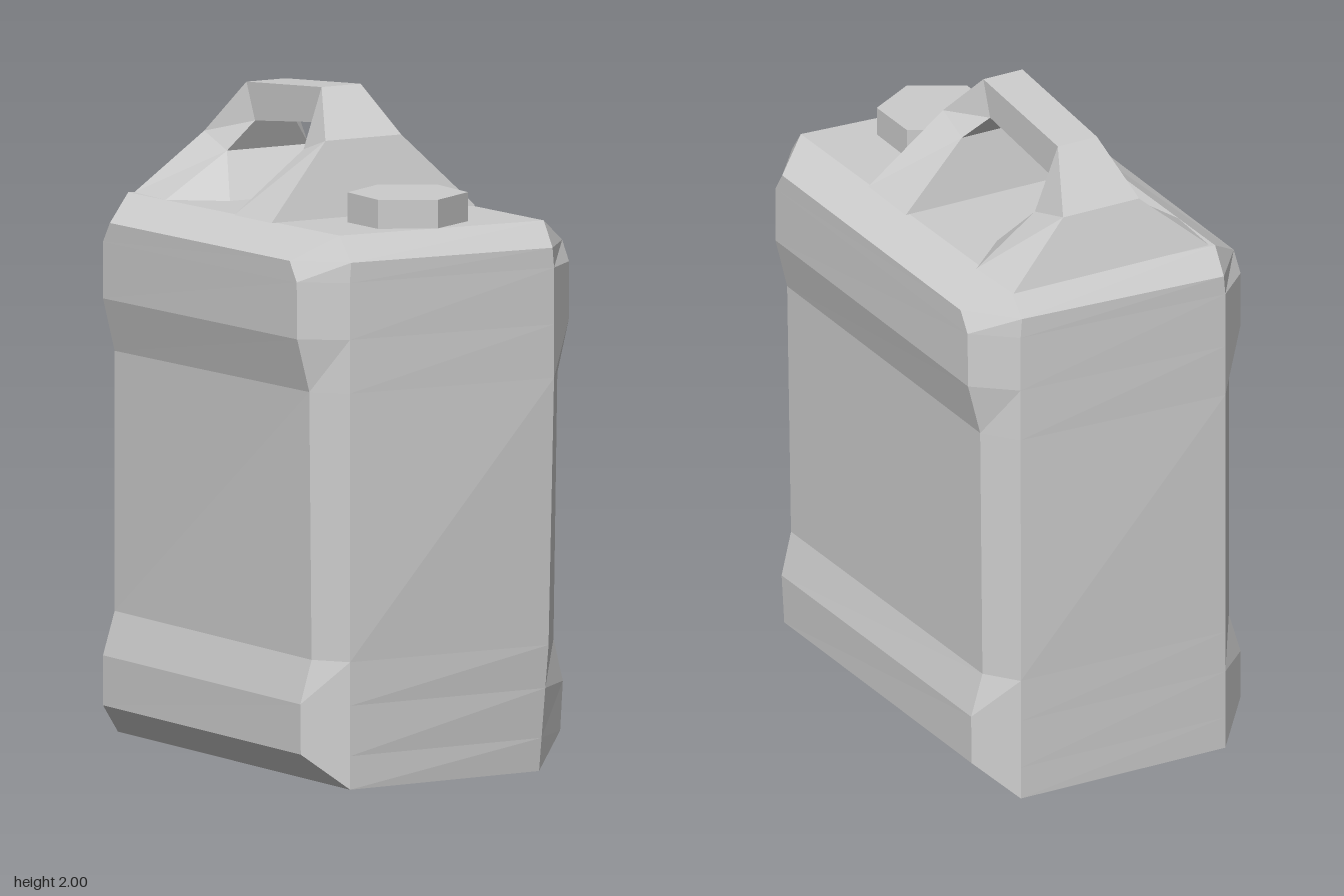
import * as THREE from 'three';

const material = new THREE.MeshStandardMaterial({ color: 0xcccccc, flatShading: true });

// Flat-shaded mesh from a list of polygons, each fanned into triangles
function polyMesh(name, polygons) {
  const pos = [];
  for (const p of polygons)
    for (let i = 1; i < p.length - 1; i++) pos.push(...p[0], ...p[i], ...p[i + 1]);
  const geo = new THREE.BufferGeometry();
  geo.setAttribute('position', new THREE.Float32BufferAttribute(pos, 3));
  geo.computeVertexNormals();
  const mesh = new THREE.Mesh(geo, material);
  mesh.name = name;
  return mesh;
}

// The shoulder sinks slightly toward the back
const sag = (z) => 0.022 * (0.62 - z) / 1.24;
const floorAt = (z) => 1.645 - sag(z);

// Body levels: y, side panel x, side panel end z, end panel edge x, end panel z
const levels = [
  [0, 0.35, 0.68, 0.35, 0.68],
  [0.1, 0.46, 0.58, 0.35, 0.68],
  [0.25, 0.46, 0.58, 0.35, 0.68],
  [0.38, 0.42, 0.58, 0.35, 0.68],
  [1.18, 0.42, 0.58, 0.35, 0.68],
  [1.34, 0.46, 0.58, 0.35, 0.68],
  [1.51, 0.46, 0.58, 0.35, 0.68],
  [1.57, 0.46, 0.54, 0.345, 0.68],
  [1.645, 0.35, 0.62, 0.35, 0.62],
];

// Two opposite corners lean in toward the top, one tucks in at the foot
function lean(sx, sz, y) {
  if (sx * sz < 0) return y / 1.64;
  return sx > 0 ? Math.max(0, 1 - y / 0.6) : 0;
}

function ring([y, sideX, sideZ, endX, endZ]) {
  const points = [];
  for (const [sx, sz] of [[1, 1], [1, -1], [-1, -1], [-1, 1]]) {
    const k = lean(sx, sz, y);
    const add = (x, z, dx) => {
      const pz = sz * (z - 0.045 * k);
      points.push([sx * (x - dx * k), y > 1.1 ? y - sag(pz) : y, pz]);
    };
    const end = () => add(endX, endZ, 0.025);
    const side = () => add(sideX, sideZ, y === 0 || y > 1.6 ? 0.025 : 0.01);
    if (sx * sz > 0) { end(); side(); } else { side(); end(); }
  }
  return points;
}

function body() {
  const rings = levels.map(ring);
  const polygons = [[...rings[0]].reverse(), rings[rings.length - 1]];
  for (let i = 0; i < rings.length - 1; i++)
    for (let k = 0; k < 8; k++) {
      const n = (k + 1) % 8;
      polygons.push([rings[i][k], rings[i][n], rings[i + 1][n], rings[i + 1][k]]);
    }
  return polyMesh('body', polygons);
}

// Pyramid-like carrying handle with an opening through it
function handle() {
  const outer = [
    [0.35, floorAt(0.22), 0.22], [0.13, 1.86, 0.16], [0.067, 2, 0.03],
    [0.067, 1.96, -0.41], [0.13, 1.8, -0.55], [0.335, floorAt(-0.61), -0.61],
  ];
  const hole = [
    [0.35, floorAt(0), 0], [0.135, 1.82, 0.04], [0.067, 1.89, -0.01],
    [0.067, 1.85, -0.36], [0.14, 1.76, -0.4], [0.345, floorAt(-0.41), -0.41],
  ];
  const sill = [0.2, floorAt(-0.28), -0.28];
  const inner = [...hole.slice(0, 5), sill];
  const flip = ([x, y, z]) => [-x, y, z];
  const polygons = [];
  const bothSides = (p) => polygons.push(p, p.map(flip).reverse());

  for (let i = 0; i < 5; i++) {
    bothSides([outer[i], hole[i], hole[i + 1], outer[i + 1]]);
    polygons.push([outer[i], outer[i + 1], flip(outer[i + 1]), flip(outer[i])]);
    polygons.push([flip(inner[i]), flip(inner[i + 1]), inner[i + 1], inner[i]]);
  }
  // Splayed foot of the rear leg
  bothSides([hole[4], sill, hole[5]]);
  return polyMesh('handle', polygons);
}

export function createModel() {
  const group = new THREE.Group();
  group.name = 'fuelCan';
  group.add(body(), handle());

  // Hexagonal screw cap
  const cap = new THREE.Mesh(new THREE.CylinderGeometry(0.178, 0.178, 0.1, 6), material);
  cap.name = 'cap';
  cap.position.set(0, 1.68, 0.42);
  group.add(cap);
  return group;
}
